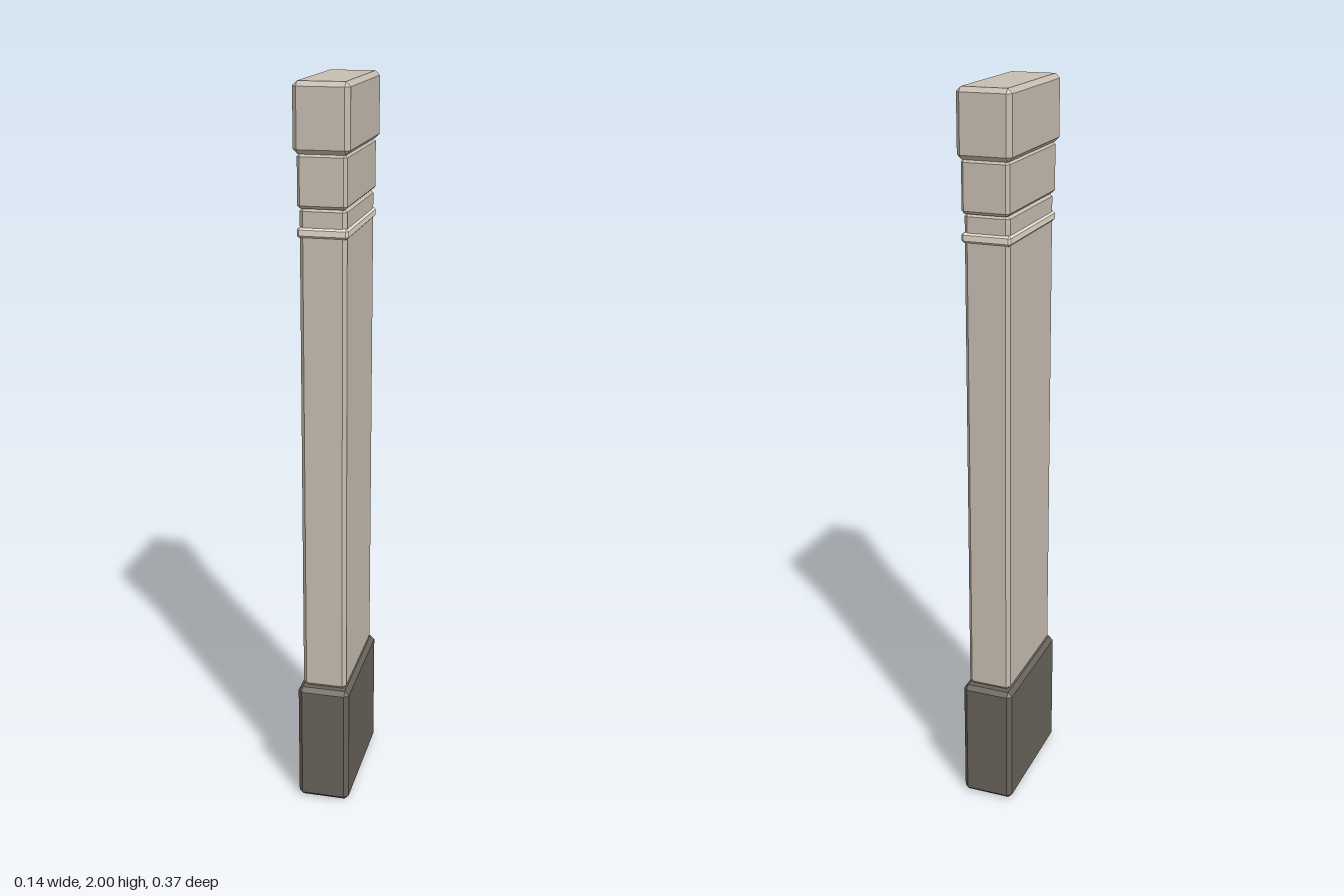
import * as THREE from 'three';
import { ConvexGeometry } from 'three/addons/geometries/ConvexGeometry.js';

const stone = new THREE.MeshStandardMaterial({ color: 0xc8beb1 });
stone.name = 'stone';
const darkStone = new THREE.MeshStandardMaterial({ color: 0x67625a });
darkStone.name = 'dark stone';
const paleStone = new THREE.MeshStandardMaterial({ color: 0xe4dccf });
paleStone.name = 'pale stone';

// Box with every edge and corner cut by a flat chamfer
function chamferBox(halfX, halfY, halfZ, bevel) {
  const points = [];
  for (const x of [-1, 1]) for (const y of [-1, 1]) for (const z of [-1, 1]) {
    const ix = halfX - bevel, iy = halfY - bevel, iz = halfZ - bevel;
    points.push(
      new THREE.Vector3(x * halfX, y * iy, z * iz),
      new THREE.Vector3(x * ix, y * halfY, z * iz),
      new THREE.Vector3(x * ix, y * iy, z * halfZ),
    );
  }
  return new ConvexGeometry(points);
}

export function createModel() {
  const group = new THREE.Group();
  group.name = 'pilaster';

  // Name, bottom, top, half width, half depth, chamfer, material
  const blocks = [
    ['base', 0, 0.35, 0.0725, 0.185, 0.012, darkStone],
    ['shaft', 0.35, 1.695, 0.061, 0.166, 0.01, stone],
    ['neckBand', 1.618, 1.645, 0.066, 0.171, 0.006, paleStone],
    ['lowerCapital', 1.692, 1.828, 0.064, 0.176, 0.008, stone],
    ['upperCapital', 1.826, 2, 0.0725, 0.185, 0.012, stone],
  ];
  for (const [name, bottom, top, halfX, halfZ, bevel, material] of blocks) {
    const mesh = new THREE.Mesh(chamferBox(halfX, (top - bottom) / 2, halfZ, bevel), material);
    mesh.name = name;
    mesh.position.y = (bottom + top) / 2;
    group.add(mesh);
  }
  return group;
}
